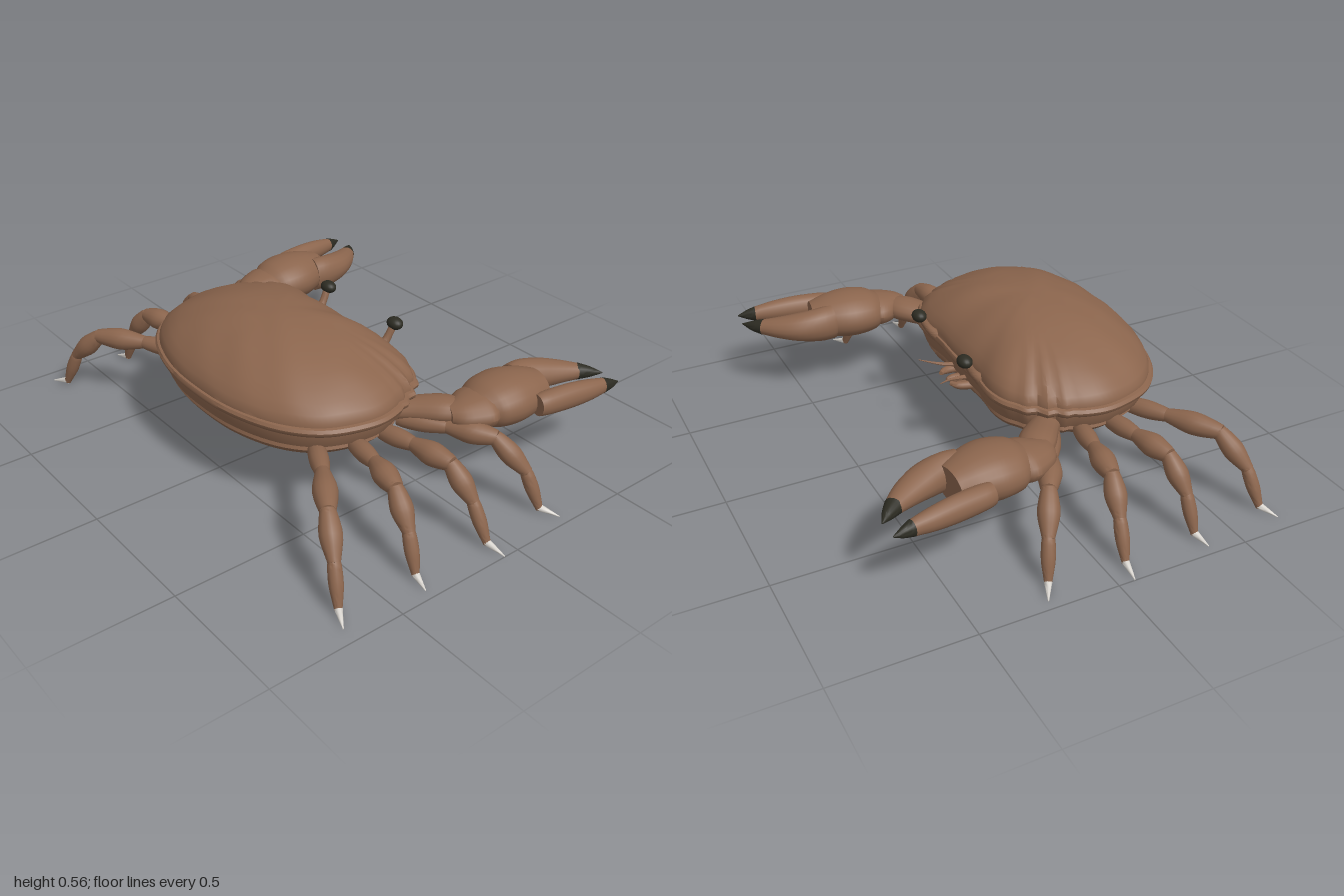
import * as THREE from 'three';
import { toCreasedNormals } from 'three/addons/utils/BufferGeometryUtils.js';

const V = (x, y, z) => new THREE.Vector3(x, y, z);

function material(name, color) {
  const m = new THREE.MeshStandardMaterial({ color });
  m.name = name;
  return m;
}

// Skin over closed rings of points
function skin(rows, crease = 0.7) {
  const n = rows[0].length, pos = [], idx = [];
  rows.forEach(r => r.forEach(p => pos.push(p.x, p.y, p.z)));
  for (let i = 0; i < rows.length - 1; i++) {
    for (let j = 0; j < n; j++) {
      const a = i * n + j, b = i * n + (j + 1) % n;
      idx.push(a, b, a + n, b, b + n, a + n);
    }
  }
  const g = new THREE.BufferGeometry();
  g.setAttribute('position', new THREE.Float32BufferAttribute(pos, 3));
  g.setIndex(idx);
  return toCreasedNormals(g, crease);
}

// Elliptical sweep through stations [x, y, z, half width, half height]
function sweep(stations, s = 1, steps = 14, sides = 16) {
  const path = new THREE.CatmullRomCurve3(stations.map(q => V(q[0] * s, q[1], q[2])));
  const size = new THREE.CatmullRomCurve3(stations.map((q, i) => V(q[3], q[4] ?? q[3], i * 0.05)));
  const rows = [];
  const ring = (t, k) => {
    const c = path.getPoint(t), d = path.getTangent(t), r = size.getPoint(t);
    const up = V(0, 1, 0).addScaledVector(d, -d.y).normalize();
    const side = V(0, 0, 0).crossVectors(up, d);
    return Array.from({ length: sides }, (_, j) => {
      const a = j / sides * Math.PI * 2;
      return c.clone().addScaledVector(side, Math.cos(a) * r.x * k).addScaledVector(up, Math.sin(a) * r.y * k);
    });
  };
  rows.push(ring(0, 0.001));
  for (let i = 0; i <= steps; i++) rows.push(ring(i / steps, 1));
  rows.push(ring(1, 0.001));
  return skin(rows);
}

// Limb segment: narrow at both joints, swollen in between
function segment(a, b, r0, mid, r1) {
  const at = (t, r) => [...a.map((v, i) => v + (b[i] - v) * t), r];
  return [at(-0.04, r0 * 0.8), at(0.1, r0), at(0.5, mid), at(0.9, r1), at(1.04, r1 * 0.8)];
}

// Carapace outline from the back edge round the left flank and on to the right
function outline(count) {
  const half = [[0.19, 0.575], [0.38, 0.51], [0.49, 0.42], [0.54, 0.32], [0.56, 0.2], [0.525, 0.08],
    [0.475, 0.0], [0.41, -0.07], [0.3, -0.108], [0.15, -0.1]];
  const pts = [[0, 0.59], ...half, [0, -0.105], ...half.slice().reverse().map(([x, z]) => [-x, z])];
  return new THREE.CatmullRomCurve3(pts.map(([x, z]) => V(x, 0, z)), true).getPoints(count).slice(0, count);
}

function bodyRows(profile) {
  const edge = outline(120);
  return profile.map(([k, y]) => edge.map(p => {
    // scalloped teeth on the front flanks
    const w = Math.max(0, 1 - Math.abs(p.z - 0.01) / 0.13) * Math.min(1, Math.abs(p.x) * 3);
    const f = k * (1 + w * (k > 0.6 ? 0.02 : 0) * Math.sin(p.z * 110));
    const wave = k < 0.95 && y > 0.4 ? 0.003 * Math.sin(p.x * k * 28) * Math.sin(p.z * k * 24) : 0;
    return V(p.x * f, y + wave, 0.22 + (p.z - 0.22) * f);
  }));
}

export function createModel() {
  const brown = material('shellBrown', 0x8b654d);
  const dark = material('darkTips', 0x2c2b22);
  const pale = material('paleFeet', 0xd6d2cc);
  const crab = new THREE.Group();
  crab.name = 'crab';
  const add = (name, geo, mat, parent = crab) => {
    const m = new THREE.Mesh(geo, mat);
    m.name = name;
    parent.add(m);
    return m;
  };

  // Domed carapace with its raised rim
  add('carapace', skin(bodyRows([[0.93, 0.335], [0.98, 0.34], [1, 0.35], [1.005, 0.36], [0.99, 0.37], [0.968, 0.372],
    [0.965, 0.385], [0.94, 0.408], [0.88, 0.435], [0.8, 0.463], [0.7, 0.49], [0.58, 0.516], [0.45, 0.537],
    [0.3, 0.553], [0.15, 0.562], [0.001, 0.565]])), brown);

  // Lower body with a step above the breastplate
  add('underside', skin(bodyRows([[0.001, 0.157], [0.2, 0.161], [0.4, 0.172], [0.6, 0.192], [0.75, 0.214], [0.86, 0.24],
    [0.9, 0.262], [0.89, 0.278], [0.86, 0.282], [0.925, 0.285], [0.955, 0.32], [0.96, 0.345]])), brown);

  // Abdominal flap: overlapping bands tucked under the body
  [[0.43, 0.2, 0.19], [0.37, 0.18, 0.178], [0.31, 0.145, 0.168], [0.25, 0.105, 0.16], [0.19, 0.07, 0.156], [0.13, 0.04, 0.156]]
    .forEach(([z, w, y]) => {
      const g = new THREE.SphereGeometry(1, 24, 10);
      g.scale(w, 0.016, 0.045);
      g.rotateX(-0.15);
      g.translate(0, y, z);
      add('abdomenBand', g, brown);
    });

  // Joints of each leg: hip, thigh, knee, ankle, foot, tip as [x, z]
  const legs = [
    [[0.46, 0.05], [0.61, -0.04], [0.75, -0.125], [0.85, -0.18], [0.9, -0.205], [0.965, -0.24]],
    [[0.48, 0.15], [0.62, 0.125], [0.77, 0.1], [0.86, 0.08], [0.925, 0.07], [1, 0.06]],
    [[0.48, 0.27], [0.62, 0.295], [0.76, 0.33], [0.85, 0.35], [0.9, 0.36], [0.965, 0.375]],
    [[0.42, 0.385], [0.56, 0.465], [0.72, 0.57], [0.82, 0.625], [0.875, 0.652], [0.94, 0.685]],
  ];
  const heights = [0.262, 0.268, 0.262, 0.155, 0.022, 0.004];

  for (const [s, side] of [[1, 'left'], [-1, 'right']]) {
    // Walking legs
    legs.forEach((joints, i) => {
      const leg = new THREE.Group();
      leg.name = `${side}Leg${i + 1}`;
      crab.add(leg);
      const p = joints.map(([x, z], k) => [x, heights[k], z]);
      add('hip', sweep(segment(p[0], p[1], 0.03, 0.034, 0.027), s), brown, leg);
      add('thigh', sweep(segment(p[1], p[2], 0.03, 0.042, 0.032), s), brown, leg);
      add('shin', sweep(segment(p[2], p[3], 0.03, 0.038, 0.026), s), brown, leg);
      add('ankle', sweep(segment(p[3], p[4], 0.023, 0.024, 0.016), s), brown, leg);
      add('foot', sweep([[...p[4], 0.014], [...p[5], 0.002]], s, 4, 10), pale, leg);
    });

    // Claw arm, wrist, palm and two fingers
    const claw = new THREE.Group();
    claw.name = side + 'Claw';
    crab.add(claw);
    add('upperArm', sweep([[0.4, 0.285, 0.08, 0.045, 0.035], [0.47, 0.295, 0.01, 0.055, 0.04],
      [0.55, 0.305, -0.06, 0.066, 0.045], [0.6, 0.305, -0.1, 0.055, 0.04]], s), brown, claw);
    add('wrist', sweep([[0.59, 0.305, -0.055, 0.05, 0.035], [0.61, 0.305, -0.1, 0.085, 0.05],
      [0.62, 0.305, -0.16, 0.108, 0.06], [0.625, 0.305, -0.2, 0.09, 0.055]], s), brown, claw);
    add('palm', sweep([[0.622, 0.305, -0.15, 0.075, 0.055], [0.622, 0.306, -0.2, 0.115, 0.08],
      [0.625, 0.308, -0.28, 0.127, 0.09], [0.635, 0.307, -0.36, 0.11, 0.082],
      [0.645, 0.305, -0.43, 0.08, 0.062]], s, 18, 24), brown, claw);
    add('innerFinger', sweep([[0.575, 0.307, -0.37, 0.055, 0.07], [0.57, 0.307, -0.42, 0.056, 0.068],
      [0.59, 0.305, -0.5, 0.06, 0.056], [0.625, 0.303, -0.57, 0.049, 0.042],
      [0.665, 0.301, -0.63, 0.031, 0.029]], s), brown, claw);
    add('innerFingerTip', sweep([[0.662, 0.301, -0.626, 0.033, 0.031], [0.693, 0.3, -0.66, 0.02, 0.02],
      [0.727, 0.3, -0.692, 0.002, 0.002]], s, 8), dark, claw);
    add('outerFinger', sweep([[0.745, 0.307, -0.33, 0.036, 0.04], [0.75, 0.307, -0.36, 0.041, 0.044],
      [0.765, 0.305, -0.46, 0.04, 0.047], [0.779, 0.303, -0.55, 0.035, 0.04],
      [0.789, 0.301, -0.625, 0.024, 0.028]], s), brown, claw);
    add('outerFingerTip', sweep([[0.788, 0.301, -0.62, 0.026, 0.03], [0.796, 0.3, -0.655, 0.016, 0.018],
      [0.802, 0.3, -0.688, 0.002, 0.002]], s, 8), dark, claw);

    // Stalked eyes
    add('eyeStalk', sweep([[0.185, 0.36, -0.085, 0.022], [0.188, 0.4, -0.12, 0.015], [0.194, 0.455, -0.15, 0.014]], s), brown);
    const eye = new THREE.SphereGeometry(1, 20, 14);
    eye.scale(0.034, 0.023, 0.027);
    eye.translate(s * 0.194, 0.458, -0.155);
    add('eye', eye, dark);

    // Feelers and mouthparts
    add('feeler', sweep([[0.05, 0.3, -0.06, 0.01], [0.058, 0.31, -0.12, 0.007], [0.072, 0.32, -0.16, 0.004],
      [0.098, 0.33, -0.205, 0.0015]], s, 12, 8), brown);
    add('mouthpart', sweep([[0.07, 0.275, -0.06, 0.018], [0.06, 0.28, -0.115, 0.014], [0.04, 0.285, -0.14, 0.008]], s, 8, 10), brown);
    add('mouthpart', sweep([[0.03, 0.25, -0.04, 0.02], [0.028, 0.26, -0.1, 0.016], [0.022, 0.265, -0.125, 0.006]], s, 8, 10), brown);
  }
  return crab;
}
